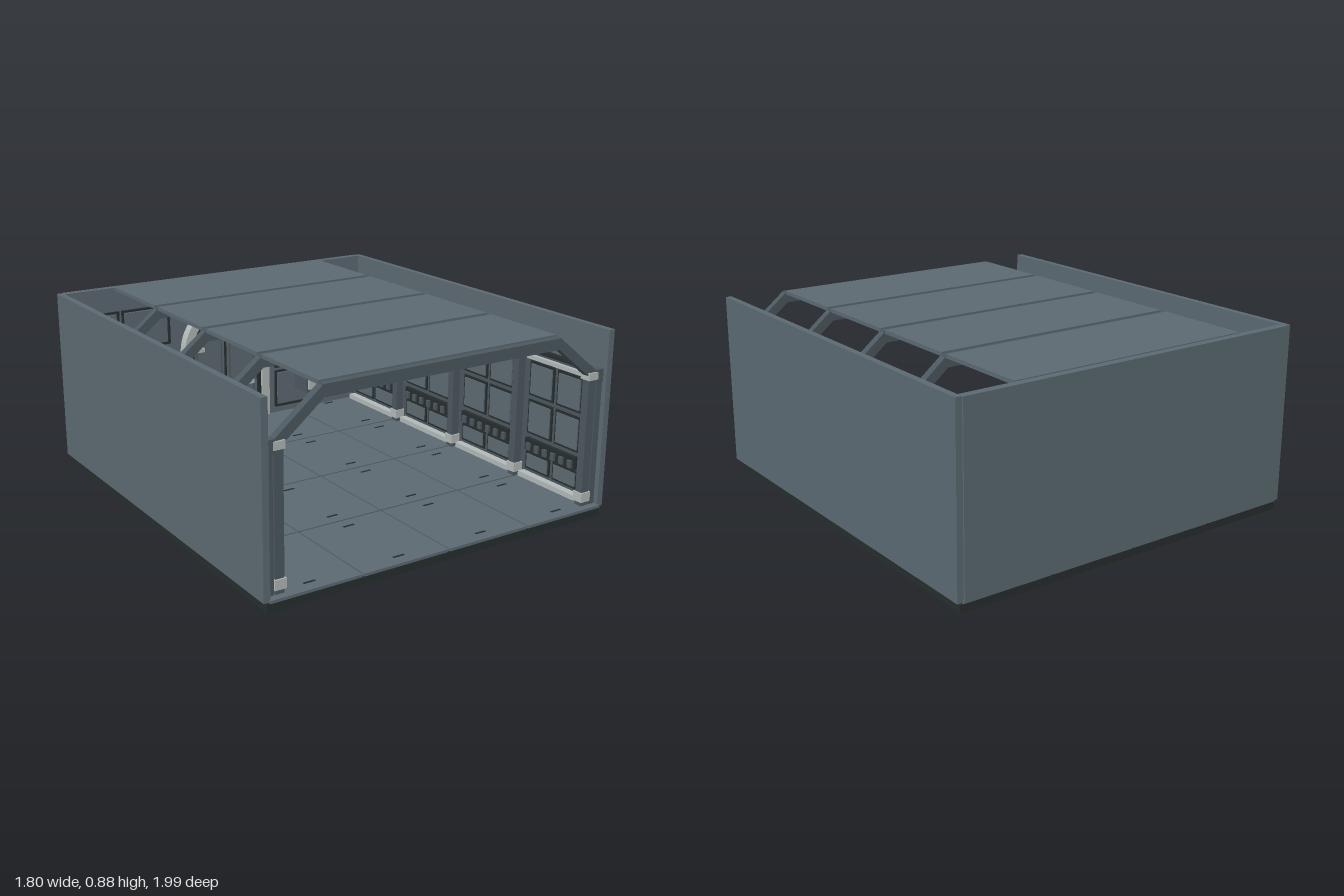
import * as THREE from 'three';

const paint = (name, color) => {
  const m = new THREE.MeshStandardMaterial({ color });
  m.name = name;
  return m;
};

export function createModel() {
  const slate = paint('slate panel', 0x5c6a72);
  const steel = paint('steel frame', 0x4c585f);
  const dark = paint('dark trim', 0x272d2d);
  const light = paint('light metal', 0xb3bab9);

  const room = new THREE.Group();
  room.name = 'room';

  // Box given by its extents on each axis
  const box = (name, mat, x0, x1, y0, y1, z0, z1, parent = room) => {
    const g = new THREE.BoxGeometry(Math.abs(x1 - x0), y1 - y0, z1 - z0);
    const m = new THREE.Mesh(g, mat);
    m.position.set((x0 + x1) / 2, (y0 + y1) / 2, (z0 + z1) / 2);
    m.name = name;
    parent.add(m);
    return m;
  };

  // Rectangular border standing on the back wall (facing +z)
  const border = (name, mat, x0, x1, y0, y1, z, t, d, parent = room) => {
    const s = new THREE.Shape();
    s.moveTo(x0, y0).lineTo(x1, y0).lineTo(x1, y1).lineTo(x0, y1).closePath();
    const h = new THREE.Path();
    h.moveTo(x0 + t, y0 + t).lineTo(x0 + t, y1 - t).lineTo(x1 - t, y1 - t).lineTo(x1 - t, y0 + t).closePath();
    s.holes.push(h);
    const m = new THREE.Mesh(new THREE.ExtrudeGeometry(s, { depth: d, bevelEnabled: false }), mat);
    m.position.z = z;
    m.name = name;
    parent.add(m);
    return m;
  };

  // Base, floor tiles and vents
  box('base', dark, -0.885, 0.885, 0, 0.038, -0.985, 0.985);
  box('floorBed', steel, -0.87, 0.87, 0.038, 0.046, -0.98, 0.98);
  for (let i = 0; i < 4; i++) for (let j = 0; j < 4; j++) {
    const x = -0.66 + i * 0.44, z = -0.75 + j * 0.5;
    box('floorTile', slate, x - 0.215, x + 0.215, 0.042, 0.055, z - 0.245, z + 0.245);
    for (const s of [-1, 1]) box('floorVent', dark, x - 0.028, x + 0.028, 0.055, 0.057, z + s * 0.185 - 0.005, z + s * 0.185 + 0.005);
  }

  // Outer walls
  for (const s of [-1, 1]) box('sideWall', slate, s * 0.87, s * 0.9, 0.045, 0.88, -0.988, 0.985);
  box('backWall', slate, -0.87, 0.87, 0.045, 0.88, -0.995, -0.958);

  // Back wall panels
  for (const s of [-1, 1]) for (const xa of [0.315, 0.595]) for (const y of [0.09, 0.315, 0.55]) {
    const x0 = Math.min(s * xa, s * (xa + 0.265));
    border('wallPanelEdge', dark, x0, x0 + 0.265, y, y + 0.208, -0.958, 0.01, 0.012);
    box('wallPanel', slate, x0 + 0.016, x0 + 0.249, y + 0.016, y + 0.192, -0.958, -0.95);
  }

  // Arched shape helper: legs from y0 up to a half circle
  const archShape = (r, y0) => {
    const s = new THREE.Shape();
    s.moveTo(-r, y0).lineTo(r, y0).lineTo(r, 0.485);
    s.absarc(0, 0.485, r, 0, Math.PI, false);
    return s.closePath();
  };
  const archRing = (name, mat, ro, ri, y0, z, depth) => {
    const s = new THREE.Shape();
    s.moveTo(ri, y0).lineTo(ro, y0).lineTo(ro, 0.485);
    s.absarc(0, 0.485, ro, 0, Math.PI, false);
    s.lineTo(-ro, y0).lineTo(-ri, y0).lineTo(-ri, 0.485);
    s.absarc(0, 0.485, ri, Math.PI, 0, true);
    s.closePath();
    const m = new THREE.Mesh(new THREE.ExtrudeGeometry(s, { depth, bevelEnabled: false, curveSegments: 24 }), mat);
    m.position.z = z;
    m.name = name;
    room.add(m);
  };

  // Arched double door
  archRing('doorArch', light, 0.255, 0.21, 0.07, -0.958, 0.05);
  archRing('doorSeal', dark, 0.21, 0.192, 0.07, -0.958, 0.035);
  const door = new THREE.Mesh(new THREE.ExtrudeGeometry(archShape(0.195, 0.07), { depth: 0.018, bevelEnabled: false, curveSegments: 24 }), slate);
  door.position.z = -0.958;
  door.name = 'door';
  room.add(door);
  box('doorGap', dark, -0.006, 0.006, 0.08, 0.675, -0.942, -0.937);
  box('doorLintel', steel, -0.14, 0.14, 0.63, 0.637, -0.942, -0.936);
  box('threshold', light, -0.23, 0.23, 0.063, 0.078, -0.958, -0.9);
  for (const s of [-1, 1]) {
    const x0 = s > 0 ? 0.022 : -0.175;
    border('doorInset', steel, x0, x0 + 0.153, 0.14, 0.6, -0.94, 0.006, 0.005);
    for (const y of [0.14, 0.27, 0.49]) box('hinge', light, s * 0.128, s * 0.17, y - 0.011, y + 0.011, -0.94, -0.925);
  }

  // Drawer cabinets with blank plates above
  for (const s of [-1, 1]) {
    const cab = new THREE.Group();
    cab.name = 'drawerCabinet';
    room.add(cab);
    box('cabinetBody', steel, s * 0.445, s * 0.76, 0.18, 0.465, -0.958, -0.83, cab);
    for (let i = 0; i < 3; i++) {
      const y = 0.2 + i * 0.09;
      box('drawer', light, s * 0.453, s * 0.752, y, y + 0.08, -0.83, -0.81, cab);
      box('drawerHandle', dark, s * 0.553, s * 0.652, y + 0.035, y + 0.047, -0.81, -0.8, cab);
    }
    box('namePlate', dark, s * 0.513, s * 0.69, 0.482, 0.522, -0.95, -0.935, cab);
  }

  // Side wall linings: bays between the frames
  const frames = [-0.48, 0, 0.48, 0.94];
  const bays = [[-0.93, -0.52], [-0.44, -0.04], [0.04, 0.44], [0.52, 0.9]];
  for (const s of [-1, 1]) {
    box('wallLining', steel, s * 0.838, s * 0.87, 0.055, 0.68, -0.958, 0.96);
    box('topRail', dark, s * 0.835, s * 0.868, 0.68, 0.695, -0.958, 0.96);
    for (const [z0, z1] of bays) {
      box('lowerTrim', light, s * 0.8, s * 0.838, 0.06, 0.085, z0, z1);
      box('upperTrim', light, s * 0.82, s * 0.838, 0.65, 0.67, z0, z1);
      box('equipmentRail', dark, s * 0.818, s * 0.838, 0.2, 0.26, z0 + 0.02, z1 - 0.02);
      for (let k = 0; k < 6; k++) {
        const z = z0 + 0.05 + k * (z1 - z0 - 0.1) / 5;
        box('railClip', steel, s * 0.806, s * 0.818, 0.205, 0.24, z - 0.012, z + 0.012);
      }
      const mid = (z0 + z1) / 2;
      for (const [a, b] of [[z0 + 0.015, mid - 0.01], [mid + 0.01, z1 - 0.015]]) for (const [y0, y1] of [[0.1, 0.19], [0.28, 0.45], [0.47, 0.64]]) {
        box('liningEdge', dark, s * 0.832, s * 0.838, y0, y1, a, b);
        box('liningPanel', slate, s * 0.826, s * 0.838, y0 + 0.012, y1 - 0.012, a + 0.012, b - 0.012);
      }
    }
  }

  // Structural frames: posts, braces and roof beams
  for (const z of frames) {
    const f = new THREE.Group();
    f.name = 'frame';
    room.add(f);
    box('roofBeam', steel, -0.612, 0.612, 0.825, 0.876, z - 0.018, z + 0.018, f);
    for (const s of [-1, 1]) {
      box('post', steel, s * 0.79, s * 0.832, 0.055, 0.69, z - 0.02, z + 0.02, f);
      box('postFoot', light, s * 0.784, s * 0.838, 0.075, 0.12, z - 0.027, z + 0.027, f);
      box('postCap', light, s * 0.784, s * 0.838, 0.655, 0.69, z - 0.027, z + 0.027, f);
      box('wallBracket', steel, s * 0.83, s * 0.875, 0.64, 0.7, z - 0.025, z + 0.025, f);
      const dx = 0.21, dy = 0.17;
      const brace = new THREE.Mesh(new THREE.BoxGeometry(Math.hypot(dx, dy) + 0.02, 0.044, 0.036), steel);
      brace.position.set(s * 0.71, 0.765, z);
      brace.rotation.z = -s * Math.atan2(dy, dx);
      brace.name = 'brace';
      f.add(brace);
    }
  }

  // Roof panels and ceiling lamps
  for (const [z0, z1] of [[-0.958, -0.498], [-0.462, -0.018], [0.018, 0.462], [0.498, 0.925]]) {
    const mid = (z0 + z1) / 2;
    box('roofPanel', slate, -0.61, 0.61, 0.866, 0.884, z0, z1);
    box('ceilingLamp', dark, -0.075, 0.075, 0.815, 0.866, mid - 0.05, mid + 0.05);
    for (const s of [-1, 1]) box('ceilingVent', dark, s * 0.45, s * 0.53, 0.82, 0.866, mid - 0.01, mid + 0.01);
  }
  return room;
}
